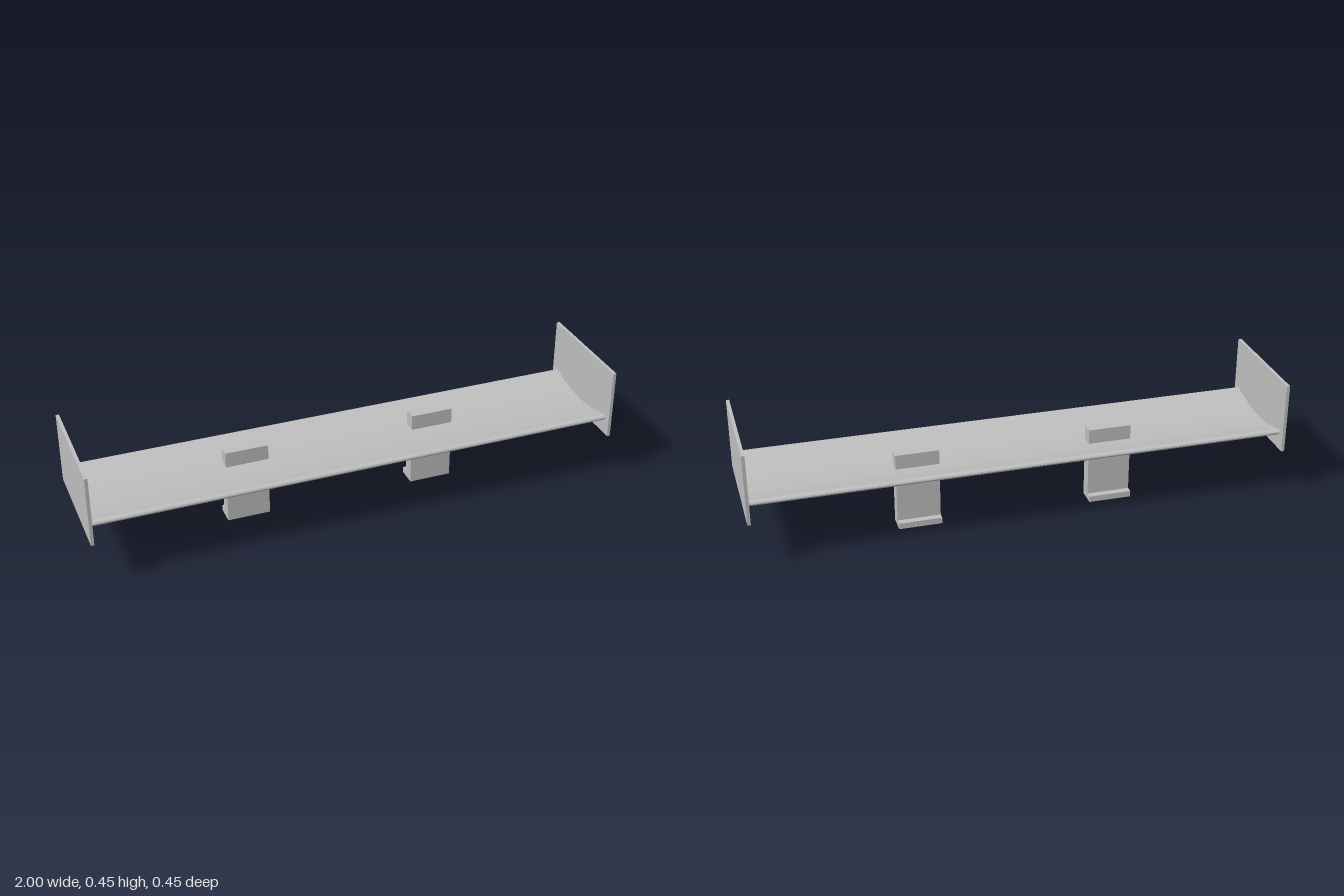
import * as THREE from 'three';

export function createModel() {
  const root = new THREE.Group();
  root.name = 'rearWing';
  const grey = new THREE.MeshStandardMaterial({ color: 0xbebebe });
  grey.name = 'plain grey';

  const add = (geometry, name, parent = root) => {
    const mesh = new THREE.Mesh(geometry, grey);
    mesh.name = name;
    parent.add(mesh);
    return mesh;
  };

  // Box given by its lower and upper corners
  const box = (name, a, b, parent) => {
    const size = b.map((v, i) => v - a[i]);
    const mesh = add(new THREE.BoxGeometry(...size), name, parent);
    mesh.position.set(...a.map((v, i) => v + size[i] / 2));
  };

  // Blade section (depth, height): dished top, rounded lips, two shallow lobes below
  const section = new THREE.Shape();
  section.moveTo(0.2, 0.25);
  section.quadraticCurveTo(0.198, 0.262, 0.182, 0.26);
  section.quadraticCurveTo(0, 0.202, -0.182, 0.26);
  section.quadraticCurveTo(-0.198, 0.262, -0.2, 0.25);
  section.bezierCurveTo(-0.15, 0.2, -0.03, 0.192, 0.025, 0.225);
  section.bezierCurveTo(0.07, 0.198, 0.16, 0.202, 0.2, 0.25);
  const span = 1.98;
  const blade = new THREE.ExtrudeGeometry(section, {
    depth: span, bevelEnabled: false, curveSegments: 10,
  });
  blade.rotateY(-Math.PI / 2);
  blade.translate(span / 2, 0, 0);
  add(blade, 'blade');

  // End plates and mounts, mirrored left and right
  for (const [side, s] of [['left', 1], ['right', -1]]) {
    const spanX = (inner, outer) => (s > 0 ? [inner, outer] : [-outer, -inner]);

    const [p0, p1] = spanX(0.988, 1);
    box(side + 'EndPlate', [p0, 0.184, -0.223], [p1, 0.453, 0.223], root);

    const mount = new THREE.Group();
    mount.name = side + 'Mount';
    root.add(mount);
    const [m0, m1] = spanX(0.284, 0.446);
    box('post', [m0, 0, -0.06], [m1, 0.29, -0.013], mount);
    box('foot', [m0, 0, -0.085], [m1, 0.023, -0.06], mount);
  }

  return root;
}
